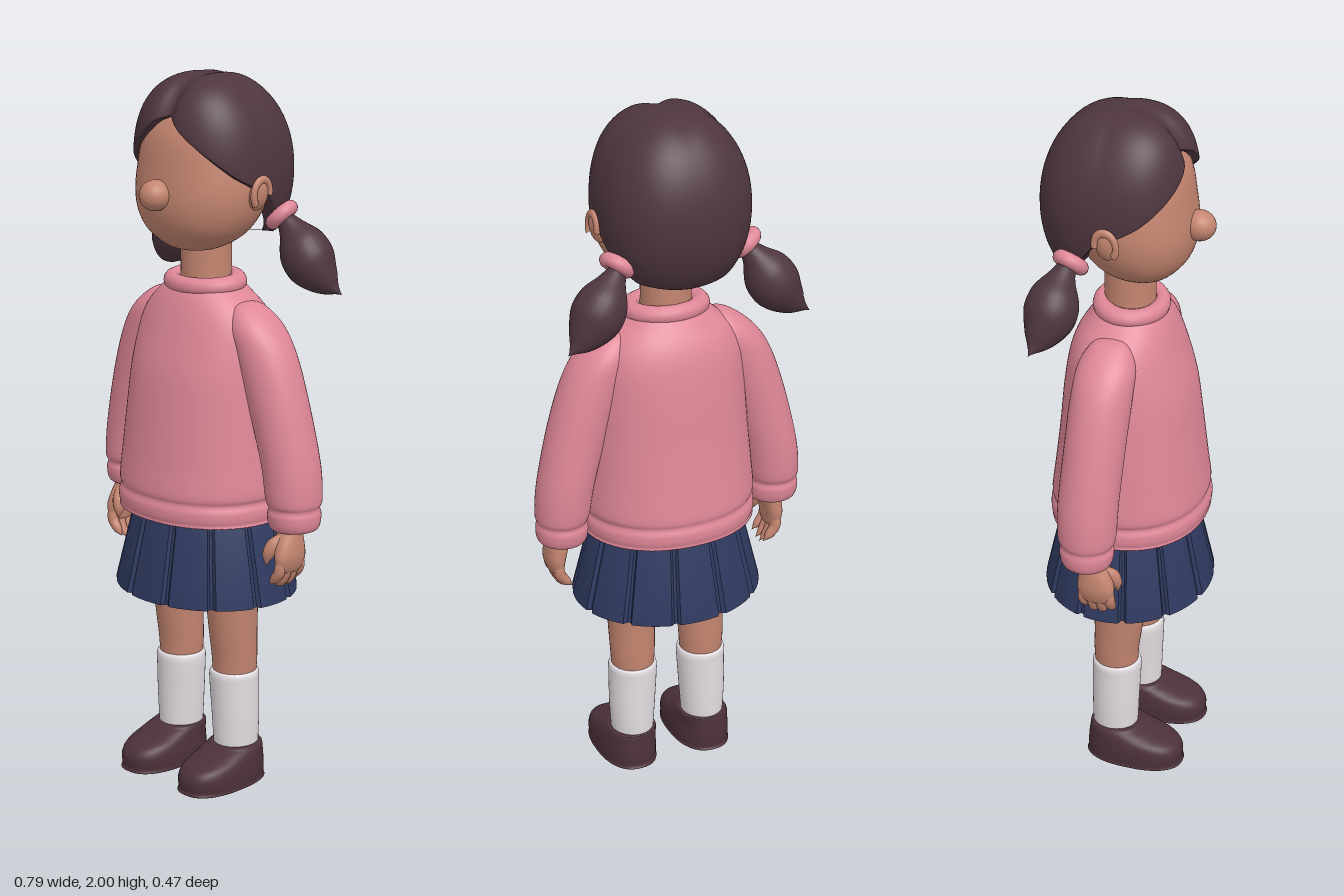
import * as THREE from 'three';
import { toCreasedNormals } from 'three/addons/utils/BufferGeometryUtils.js';

const mat = (name, color) => Object.assign(new THREE.MeshStandardMaterial({ color }), { name });

// Closed-loop grid: point(angle, v) for v = 0..1, outward when v runs along the axis
function grid(nu, nv, point) {
  const pos = [], idx = [];
  for (let j = 0; j <= nv; j++)
    for (let i = 0; i < nu; i++) pos.push(...point((i / nu) * Math.PI * 2, j / nv));
  for (let j = 0; j < nv; j++)
    for (let i = 0; i < nu; i++) {
      const a = j * nu + i, b = j * nu + ((i + 1) % nu);
      idx.push(a, b, b + nu, a, b + nu, a + nu);
    }
  const g = new THREE.BufferGeometry();
  g.setAttribute('position', new THREE.Float32BufferAttribute(pos, 3));
  g.setIndex(idx);
  g.computeVertexNormals();
  return g;
}

// Catmull-Rom blend of rows of numbers
function blend(rows, v) {
  const f = v * (rows.length - 1), i = Math.min(Math.floor(f), rows.length - 2), t = f - i;
  const at = k => rows[THREE.MathUtils.clamp(k, 0, rows.length - 1)];
  return rows[0].map((_, c) => {
    const [a, b, d, e] = [at(i - 1)[c], at(i)[c], at(i + 1)[c], at(i + 2)[c]];
    return b + 0.5 * t * (d - a + t * (2 * a - 5 * b + 4 * d - e + t * (3 * (b - d) + e - a)));
  });
}

const power = (x, p) => Math.sign(x) * Math.abs(x) ** p;

// Horizontal oval sections, bottom to top: [y, centre x, centre z, radius x, radius z]
function loft(rows, s = 1, n = 2, seg = 40) {
  return grid(seg, (rows.length - 1) * 5, (a, v) => {
    const [y, cx, cz, rx, rz] = blend(rows, v);
    return [s * cx + Math.max(rx, 0) * power(Math.sin(a), 2 / n), y,
      cz + Math.max(rz, 0) * power(Math.cos(a), 2 / n)];
  });
}

// Round tube with varying radius along a path
function sweep(points, radii, s = 1, seg = 16, steps = 20) {
  const curve = new THREE.CatmullRomCurve3(points.map(p => new THREE.Vector3(p[0] * s, p[1], p[2])));
  const fr = curve.computeFrenetFrames(steps);
  return grid(seg, steps, (a, v) => {
    const k = Math.round(v * steps), r = Math.max(0, blend(radii.map(x => [x]), v)[0]);
    return curve.getPointAt(v).addScaledVector(fr.normals[k], r * Math.cos(a))
      .addScaledVector(fr.binormals[k], r * Math.sin(a)).toArray();
  });
}

// Hair cap with a parted front and a hairline that drops behind the ears
function hairCap() {
  const line = [[0, 1.915], [15, 1.86], [24, 1.835], [45, 1.785], [62, 1.745], [78, 1.715],
    [90, 1.69], [104, 1.62], [125, 1.57], [180, 1.55]];
  const edgeY = deg => {
    const i = Math.max(1, line.findIndex(p => p[0] >= deg - 1e-6));
    const [a, b] = [line[i - 1], line[i]];
    return THREE.MathUtils.lerp(a[1], b[1], (deg - a[0]) / (b[0] - a[0]));
  };
  const cy = 1.74, cz = -0.028, ry = 0.262, rows = 34;
  return grid(128, rows, (a, v) => {
    const deg = Math.min(a, Math.PI * 2 - a) * 180 / Math.PI;
    const n = 2.1 + 0.8 * Math.max(0, Math.cos(a));
    const Y = (edgeY(deg) - cy) / ry;
    const tMax = Math.acos(power(Y, n / 2));
    const j = Math.round(v * rows), lip = j < 3;
    const t = tMax * (lip ? 1 : 1 - (j - 3) / (rows - 3));
    const h = power(Math.sin(t), 2 / n) * [0.78, 0.95, 0.985][Math.min(j, 2)] / (lip ? 1 : 0.985);
    let x = 0.208 * h * power(Math.sin(a), 0.85);
    let z = 0.206 * h * power(Math.cos(a), 0.85);
    let y = ry * power(Math.cos(t), 2 / n) - (j === 1 ? 0.004 : 0);
    const strength = 0.03 * THREE.MathUtils.smoothstep(z, -0.17, 0) + 0.09 * THREE.MathUtils.smoothstep(z, 0.06, 0.2);
    const k = 1 - strength * Math.exp(-((x / 0.03) ** 2));
    return [x * k, cy + y * k, cz + z * k];
  });
}

// Pleated skirt with a hollow underside
function pleatedSkirt() {
  const rows = [[0.7, 0.001, 0.001], [0.7, 0.19, 0.16], [0.56, 0.245, 0.21], [0.56, 0.272, 0.237],
    [0.57, 0.272, 0.237], [0.8, 0.215, 0.185]];
  const stops = [0, 0.035, 0.09, 0.3, 0.5, 0.7, 0.91, 0.965], pleats = 12, nu = pleats * stops.length;
  const g = grid(nu, rows.length - 1, (a, v) => {
    const i = Math.round(a / (Math.PI * 2) * nu), j = Math.round(v * (rows.length - 1));
    const k = i % stops.length, p = Math.floor(i / stops.length);
    const ang = (p + 0.5 + stops[k]) / pleats * Math.PI * 2;
    const dip = j > 2 && (k < 2 || k === 7) ? 0.955 : 1;
    const [y, rx, rz] = rows[j];
    return [rx * dip * Math.sin(ang), y, rz * dip * Math.cos(ang)];
  });
  return toCreasedNormals(g, 0.5);
}

export function createModel() {
  const root = new THREE.Group();
  root.name = 'girl';
  const skin = mat('skin', 0xc48570), hair = mat('dark brown hair', 0x4e363e), pink = mat('pink knit', 0xdf8797);
  const navy = mat('navy cloth', 0x313c63), white = mat('white sock', 0xe4dee2), shoe = mat('dark brown shoe', 0x4c313a);
  const add = (name, geo, m) => {
    const mesh = new THREE.Mesh(geo, m);
    mesh.name = name;
    root.add(mesh);
    return mesh;
  };
  const ball = (name, m, p, r) => {
    const mesh = add(name, new THREE.SphereGeometry(1, 28, 20), m);
    mesh.position.set(...p);
    mesh.scale.set(...r);
    return mesh;
  };

  // Head
  add('head', loft([[1.525, 0, 0.05, 0, 0], [1.531, 0, 0.047, 0.065, 0.055], [1.56, 0, 0.037, 0.125, 0.103],
    [1.6, 0, 0.03, 0.163, 0.138], [1.66, 0, 0.018, 0.188, 0.163], [1.74, 0, 0, 0.194, 0.175],
    [1.85, 0, -0.012, 0.172, 0.165], [1.93, 0, -0.025, 0.11, 0.11], [1.965, 0, -0.03, 0, 0]], 1, 2.1, 56), skin);
  ball('nose', skin, [0, 1.688, 0.19], [0.042, 0.042, 0.045]);
  add('neck', loft([[1.38, 0, 0, 0.075, 0.072], [1.46, 0, 0, 0.07, 0.07], [1.6, 0, 0, 0.072, 0.07]]), skin);
  add('hair', hairCap(), hair);

  // Sweater body with a banded hem, and its collar
  add('sweater', loft([[0.785, 0, 0.005, 0, 0], [0.787, 0, 0.005, 0.225, 0.195], [0.8, 0, 0.005, 0.247, 0.217],
    [0.83, 0, 0.005, 0.25, 0.22], [0.852, 0, 0.005, 0.243, 0.213], [0.875, 0, 0.005, 0.25, 0.216],
    [0.95, 0, 0.005, 0.244, 0.206], [1.08, 0, 0.005, 0.232, 0.19], [1.2, 0, 0.002, 0.222, 0.175],
    [1.3, 0, -0.005, 0.21, 0.152], [1.36, 0, -0.005, 0.185, 0.132], [1.405, 0, 0, 0.14, 0.108],
    [1.435, 0, 0, 0.1, 0.085], [1.44, 0, 0, 0.06, 0.06]], 1, 2.15, 64), pink);
  const collar = add('collar', new THREE.TorusGeometry(0.092, 0.027, 14, 48), pink);
  collar.rotation.x = Math.PI / 2 + 0.06;
  collar.scale.set(1.05, 0.87, 0.95);
  collar.position.set(0, 1.432, 0.004);

  add('skirt', pleatedSkirt(), navy);

  for (const s of [1, -1]) {
    const side = s > 0 ? 'left' : 'right';

    // Ear with a raised rim
    ball(side + 'Ear', skin, [s * 0.197, 1.69, 0], [0.02, 0.043, 0.03]).rotation.z = -s * 0.2;
    const rim = add(side + 'EarRim', new THREE.TorusGeometry(0.029, 0.009, 10, 24, Math.PI * 1.3), skin);
    rim.position.set(s * 0.21, 1.695, 0);
    rim.rotation.set(0, Math.PI / 2, -0.2);
    rim.scale.y = 1.3;

    // Ponytail and hair band
    add(side + 'Ponytail', sweep([[0.165, 1.635, -0.1], [0.195, 1.6, -0.115], [0.228, 1.552, -0.128],
      [0.268, 1.49, -0.138], [0.312, 1.445, -0.152], [0.352, 1.418, -0.165]],
      [0.015, 0.034, 0.066, 0.07, 0.043, 0], s, 28, 36), hair);
    const band = add(side + 'HairBand', new THREE.TorusGeometry(0.031, 0.02, 12, 28), pink);
    band.position.set(s * 0.185, 1.622, -0.103);
    band.quaternion.setFromUnitVectors(new THREE.Vector3(0, 0, 1), new THREE.Vector3(s * 0.62, -0.72, -0.28).normalize());

    // Sleeve with cuff
    add(side + 'Sleeve', loft([[0.785, 0.322, -0.018, 0, 0], [0.787, 0.322, -0.018, 0.055, 0.055],
      [0.8, 0.323, -0.018, 0.07, 0.07], [0.83, 0.323, -0.018, 0.073, 0.075], [0.85, 0.323, -0.018, 0.069, 0.071],
      [0.875, 0.321, -0.018, 0.076, 0.08], [0.97, 0.308, -0.018, 0.08, 0.083], [1.13, 0.266, -0.012, 0.085, 0.083],
      [1.26, 0.22, -0.008, 0.087, 0.083], [1.335, 0.185, -0.005, 0.073, 0.077], [1.385, 0.16, -0.003, 0.035, 0.045],
      [1.395, 0.155, 0, 0, 0]], s), pink);

    // Hand with four curled fingers and a thumb
    add(side + 'Hand', loft([[0.67, 0.335, 0.012, 0, 0], [0.68, 0.335, 0.012, 0.017, 0.04],
      [0.715, 0.337, 0.012, 0.026, 0.052], [0.75, 0.332, 0.008, 0.03, 0.047], [0.785, 0.324, 0, 0.033, 0.037],
      [0.82, 0.32, -0.01, 0.034, 0.036]], s, 2.2, 24), skin);
    for (let f = 0; f < 4; f++) {
      const z = -0.025 + f * 0.025, drop = f === 0 || f === 3 ? 0.012 : 0;
      add(side + 'Finger' + (f + 1), sweep([[0.337, 0.715, z], [0.334, 0.68, z], [0.322, 0.65 + drop, z],
        [0.296, 0.624 + drop, z]], [0.012, 0.0155, 0.015, 0.012, 0], s, 12, 16), skin);
    }
    add(side + 'Thumb', sweep([[0.322, 0.775, 0.03], [0.306, 0.745, 0.05], [0.298, 0.715, 0.06],
      [0.298, 0.69, 0.062]], [0.012, 0.02, 0.016, 0], s, 12, 16), skin);

    // Leg, sock and shoe
    add(side + 'Leg', loft([[0.28, 0.108, -0.005, 0.058, 0.06], [0.36, 0.108, -0.006, 0.064, 0.064],
      [0.44, 0.108, 0, 0.067, 0.069], [0.54, 0.108, 0.005, 0.071, 0.077], [0.64, 0.107, 0.005, 0.078, 0.085],
      [0.75, 0.105, 0, 0.085, 0.09]], s), skin);
    add(side + 'Sock', loft([[0.06, 0.112, -0.008, 0.058, 0.062], [0.12, 0.112, -0.008, 0.062, 0.066],
      [0.2, 0.111, -0.007, 0.067, 0.068], [0.29, 0.108, -0.005, 0.07, 0.07], [0.318, 0.108, -0.005, 0.07, 0.07],
      [0.329, 0.108, -0.005, 0.064, 0.064], [0.325, 0.108, -0.005, 0.05, 0.05]], s), white);
    add(side + 'Shoe', loft([[0, 0.117, 0.055, 0, 0], [0, 0.117, 0.055, 0.076, 0.132], [0.012, 0.117, 0.055, 0.082, 0.139],
      [0.045, 0.117, 0.055, 0.083, 0.14], [0.07, 0.117, 0.046, 0.08, 0.129], [0.09, 0.116, 0.02, 0.076, 0.1],
      [0.105, 0.114, 0, 0.071, 0.078], [0.112, 0.113, -0.006, 0.06, 0.064], [0.108, 0.113, -0.006, 0, 0]], s, 2.4, 44), shoe);
  }
  return root;
}
